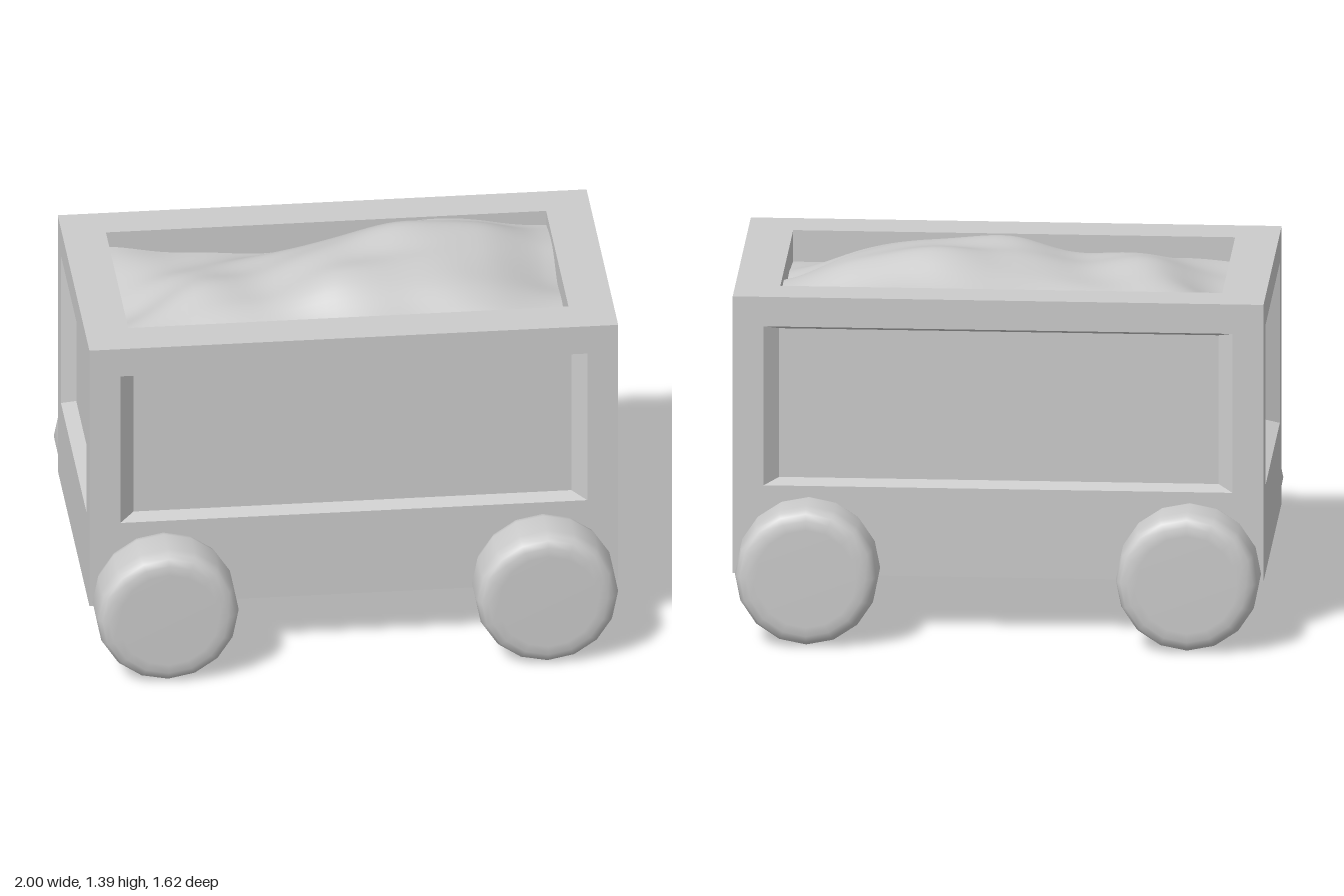
import * as THREE from 'three';

const material = new THREE.MeshStandardMaterial({ color: 0xcccccc });

// Four corners of a rectangle, counter-clockwise, at height d along the normal
function corners([u0, v0, u1, v1], d) {
  return [[u0, v0, d], [u1, v0, d], [u1, v1, d], [u0, v1, d]];
}

// Flat frame with a recess: rim, reveal and floor, facing +z
function recessedFace(outer, hole, floor, depth) {
  const rings = [corners(outer, 0), corners(hole, 0), corners(floor, -depth)];
  const pos = [];
  const quad = (a, b, c, d) => pos.push(...a, ...b, ...c, ...a, ...c, ...d);
  for (let r = 0; r < 2; r++) {
    for (let i = 0; i < 4; i++) {
      const j = (i + 1) % 4;
      quad(rings[r][i], rings[r][j], rings[r + 1][j], rings[r + 1][i]);
    }
  }
  quad(...rings[2]);
  const geo = new THREE.BufferGeometry();
  geo.setAttribute('position', new THREE.Float32BufferAttribute(pos, 3));
  geo.computeVertexNormals();
  return geo;
}

function add(parent, geo, name) {
  const mesh = new THREE.Mesh(geo, material);
  mesh.name = name;
  parent.add(mesh);
  return mesh;
}

// Heights of the heap: rows run from back to front, columns from -x to +x
const HEAP = [
  [1.24, 1.20, 1.18, 1.22, 1.28, 1.28, 1.24],
  [1.20, 1.23, 1.26, 1.33, 1.385, 1.35, 1.27],
  [1.16, 1.28, 1.29, 1.355, 1.36, 1.33, 1.20],
  [1.18, 1.28, 1.28, 1.34, 1.33, 1.28, 1.20],
  [1.20, 1.22, 1.22, 1.21, 1.17, 1.17, 1.18],
];

// Catmull-Rom interpolation through a list of values, t in 0..1
function spline(values, t) {
  const n = values.length - 1;
  const i = Math.min(Math.floor(t * n), n - 1);
  const f = t * n - i;
  const at = (k) => values[Math.max(0, Math.min(n, k))];
  const [a, b, c, d] = [at(i - 1), at(i), at(i + 1), at(i + 2)];
  return b + 0.5 * f * (c - a + f * (2 * a - 5 * b + 4 * c - d + f * (3 * (b - c) + d - a)));
}

function heapGeometry() {
  const geo = new THREE.PlaneGeometry(1.665, 0.79, 48, 28).rotateX(-Math.PI / 2);
  const p = geo.attributes.position;
  for (let i = 0; i < p.count; i++) {
    const u = THREE.MathUtils.clamp(p.getX(i) / 1.665 + 0.5, 0, 1);
    const v = THREE.MathUtils.clamp(p.getZ(i) / 0.79 + 0.5, 0, 1);
    const ripple = 0.007 * Math.sin(19 * u + 7 * v) * Math.sin(15 * v - 5 * u);
    p.setY(i, spline(HEAP.map((row) => spline(row, u)), v) + ripple);
  }
  geo.computeVertexNormals();
  return geo.translate(-0.0025, 0, -0.005);
}

// Tyre with rounded shoulders, axle along z
function wheelGeometry() {
  const profile = [
    [0, -0.123], [0.19, -0.123], [0.225, -0.12], [0.25, -0.108], [0.263, -0.09], [0.27, -0.06],
    [0.27, 0.06], [0.263, 0.09], [0.25, 0.108], [0.225, 0.12], [0.19, 0.123], [0, 0.123],
  ].map(([r, y]) => new THREE.Vector2(r, y));
  return new THREE.LatheGeometry(profile, 16).rotateX(Math.PI / 2);
}

export function createModel() {
  const model = new THREE.Group();
  model.name = 'wagon';

  // Body: panelled walls, open top and flat underside
  const body = new THREE.Group();
  body.name = 'body';
  model.add(body);
  const longWall = recessedFace([-1, 0.22, 1, 1.3], [-0.883, 0.565, 0.883, 1.185], [-0.828, 0.585, 0.828, 1.165], 0.05);
  const endWall = recessedFace([-0.56, 0.22, 0.56, 1.3], [-0.448, 0.563, 0.448, 1.187], [-0.42, 0.583, 0.42, 1.167], 0.055);
  add(body, longWall, 'frontWall').position.z = 0.56;
  const back = add(body, longWall, 'backWall');
  back.position.z = -0.56;
  back.rotation.y = Math.PI;
  for (const side of [1, -1]) {
    const end = add(body, endWall, side > 0 ? 'leftWall' : 'rightWall');
    end.position.x = side;
    end.rotation.y = side * Math.PI / 2;
  }
  const opening = [-0.835, -0.39, 0.83, 0.4];
  const rim = add(body, recessedFace([-1, -0.56, 1, 0.56], opening, opening, 0.3), 'topRimAndHold');
  rim.rotation.x = -Math.PI / 2;
  rim.position.y = 1.3;
  const underside = add(body, new THREE.PlaneGeometry(2, 1.12), 'underside');
  underside.rotation.x = Math.PI / 2;
  underside.position.y = 0.22;

  // Cargo heap filling the hold
  add(model, heapGeometry(), 'cargoHeap');

  // Wheels
  const wheel = wheelGeometry();
  for (const x of [-0.725, 0.71]) {
    for (const z of [-0.688, 0.683]) {
      const name = (z > 0 ? 'front' : 'back') + (x > 0 ? 'Left' : 'Right') + 'Wheel';
      add(model, wheel, name).position.set(x, 0.27, z);
    }
  }
  return model;
}
